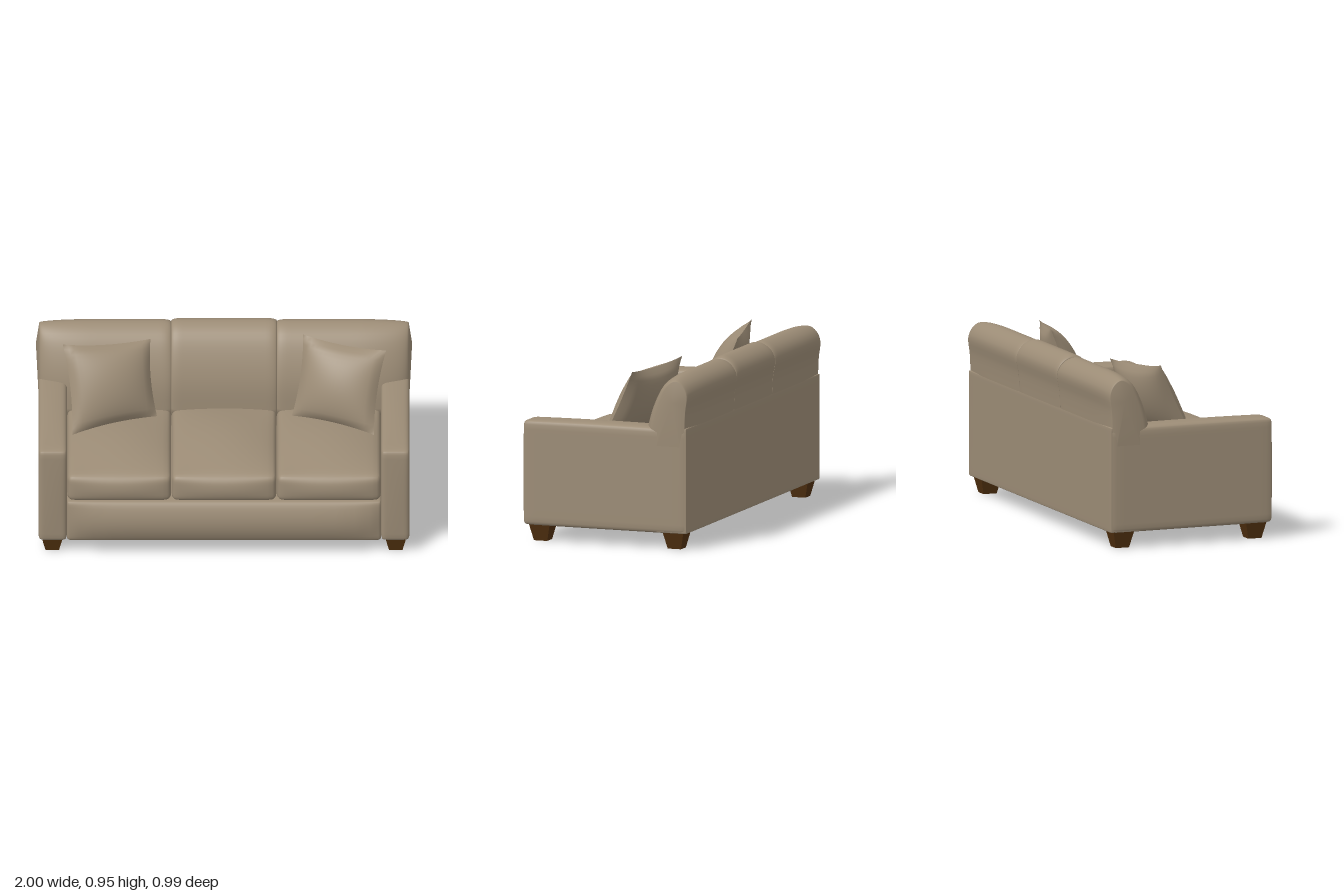
import * as THREE from 'three';
import { mergeGeometries, mergeVertices } from 'three/addons/utils/BufferGeometryUtils.js';

const fabric = new THREE.MeshStandardMaterial({ color: 0x9c8c76 });
fabric.name = 'taupe fabric';
const wood = new THREE.MeshStandardMaterial({ color: 0x50300f });
wood.name = 'dark wood';

// Padded box from min to max with rounded edges; the top and front faces swell.
function softBox(min, max, r, swellTop = 0, swellFront = 0, power = 2) {
  const h = min.map((v, i) => (max[i] - v) / 2);
  const c = min.map((v, i) => (max[i] + v) / 2);
  let g = new THREE.BoxGeometry(2, 2, 2, 16, 16, 16);
  g.deleteAttribute('uv');
  g.deleteAttribute('normal');
  g = mergeVertices(g);
  const pos = g.attributes.position;
  const p = new THREE.Vector3();
  const q = new THREE.Vector3();
  const inner = new THREE.Vector3(h[0] - r, h[1] - r, h[2] - r);
  const outer = inner.clone().negate();
  const bell = (t) => 1 - Math.abs(t) ** power;
  for (let i = 0; i < pos.count; i++) {
    p.fromBufferAttribute(pos, i);
    // crowd the grid towards the edges, then round them
    p.set(...p.toArray().map((t, k) => h[k] * Math.sin((t * Math.PI) / 2)));
    q.copy(p).clamp(outer, inner);
    p.sub(q).setLength(r).add(q);
    const [u, v, w] = [p.x / h[0], p.y / h[1], p.z / h[2]];
    p.y += swellTop * bell(u) * bell(w) * Math.max(0, v);
    p.z += swellFront * bell(u) * (1 - v * v) * Math.max(0, w);
    pos.setXYZ(i, p.x + c[0], p.y + c[1], p.z + c[2]);
  }
  g.computeVertexNormals();
  return g;
}

// Side profile (z, y) of the back cushions, running up the front and down the back
const backProfile = new THREE.CatmullRomCurve3([
  [-0.188, 0.45], [-0.205, 0.65], [-0.262, 0.81], [-0.325, 0.9], [-0.4, 0.933],
  [-0.462, 0.905], [-0.493, 0.85], [-0.48, 0.75], [-0.472, 0.6], [-0.46, 0.45],
].map(([z, y]) => new THREE.Vector3(0, y, z))).getPoints(36);

const seam = { width: 0.05, depth: 0.95, height: 0.95, bulge: 0 };
const outerEnd = { width: 0.28, depth: 0.66, height: 0.93, bulge: 0.018 };

// Loft the profile from x0 to x1, shrinking it towards each end
function backCushion(x0, x1, end0, end1, lift) {
  const n = 28;
  const m = backProfile.length;
  const verts = [];
  const index = [];
  const taper = (dist, width, s) => {
    const k = Math.max(0, 1 - dist / width);
    return 1 - (1 - s) * (1 - Math.sqrt(1 - k * k));
  };
  for (let i = 0; i <= n; i++) {
    const x = x0 + ((x1 - x0) * (1 - Math.cos((Math.PI * i) / n))) / 2;
    const sz = taper(x - x0, end0.width, end0.depth) * taper(x1 - x, end1.width, end1.depth);
    const sy = lift * taper(x - x0, end0.width, end0.height) * taper(x1 - x, end1.width, end1.height);
    for (const p of backProfile) verts.push(x, 0.6 + (p.y - 0.6) * sy, -0.44 + (p.z + 0.44) * sz);
  }
  for (let i = 0; i < n; i++) {
    for (let j = 0; j < m; j++) {
      const k = (j + 1) % m;
      const [a, b, c, d] = [i * m + j, (i + 1) * m + j, i * m + k, (i + 1) * m + k];
      index.push(a, b, c, b, d, c);
    }
  }
  // end caps
  const cap = verts.length / 3;
  verts.push(x0 - end0.bulge, 0.79, -0.4, x1 + end1.bulge, 0.79, -0.4);
  for (let j = 0; j < m; j++) {
    const k = (j + 1) % m;
    index.push(cap, j, k, cap + 1, n * m + k, n * m + j);
  }
  const g = new THREE.BufferGeometry();
  g.setAttribute('position', new THREE.Float32BufferAttribute(verts, 3));
  g.setIndex(index);
  g.computeVertexNormals();
  return g;
}

// Throw pillow stretched between four corners, with pinched edges and a sharp seam
function pillow(corners, thickness) {
  const [tl, tr, br, bl] = corners.map((c) => new THREE.Vector3(...c));
  const normal = tr.clone().sub(tl).cross(tl.clone().sub(bl)).normalize();
  const sides = [1, -1].map((side) => {
    const g = new THREE.PlaneGeometry(2, 2, 18, 18);
    if (side < 0) g.rotateY(Math.PI);
    const pos = g.attributes.position;
    for (let i = 0; i < pos.count; i++) {
      const x = pos.getX(i);
      const y = pos.getY(i);
      const u = 0.5 + 0.5 * x * (1 - 0.07 * (1 - y * y));
      const v = 0.5 + 0.5 * y * (1 - 0.07 * (1 - x * x));
      const puff = Math.max(0, (1 - x * x) * (1 - y * y)) ** 0.6;
      const p = bl.clone().lerp(br, u).lerp(tl.clone().lerp(tr, u), v);
      p.addScaledVector(normal, side * thickness * puff);
      pos.setXYZ(i, p.x, p.y, p.z);
    }
    g.computeVertexNormals();
    return g;
  });
  return mergeGeometries(sides);
}

// Square tapered foot
function footGeometry() {
  const g = new THREE.CylinderGeometry(Math.SQRT2, 0.64 * Math.SQRT2, 0.09, 4, 1).toNonIndexed();
  g.rotateY(Math.PI / 4);
  g.scale(0.056, 1, 0.059);
  g.computeVertexNormals();
  return g;
}

export function createModel() {
  const sofa = new THREE.Group();
  sofa.name = 'sofa';
  const add = (name, geometry, material = fabric) => {
    const mesh = new THREE.Mesh(geometry, material);
    mesh.name = name;
    sofa.add(mesh);
    return mesh;
  };

  // Frame
  add('base', softBox([-0.835, 0.087, -0.47], [0.835, 0.335, 0.455], 0.02, 0, 0.04, 10));
  add('backPanel', softBox([-0.98, 0.087, -0.475], [0.98, 0.655, -0.3], 0.008));
  add('leftArm', softBox([0.832, 0.085, -0.475], [0.985, 0.648, 0.455], 0.025, 0.01, 0.006));
  add('rightArm', softBox([-0.985, 0.085, -0.475], [-0.832, 0.648, 0.455], 0.025, 0.01, 0.006));

  // Seat cushions
  const seats = { rightSeatCushion: [-0.832, -0.28], middleSeatCushion: [-0.278, 0.278], leftSeatCushion: [0.28, 0.832] };
  for (const [name, [x0, x1]] of Object.entries(seats)) {
    add(name, softBox([x0, 0.335, -0.26], [x1, 0.495, 0.46], 0.035, 0.045, 0.025));
  }

  // Back cushions; the outer two spread over the arms
  add('middleBackCushion', backCushion(-0.28, 0.28, seam, seam, 1));
  add('leftBackCushion', backCushion(0.28, 0.98, seam, outerEnd, 0.98));
  add('rightBackCushion', backCushion(-0.98, -0.28, outerEnd, seam, 0.98));

  // Throw pillows
  add('rightPillow', pillow([[-0.855, 0.948, -0.135], [-0.39, 0.92, -0.235], [-0.355, 0.53, -0.085], [-0.805, 0.52, 0.085]], 0.085));
  add('leftPillow', pillow([[0.42, 0.948, -0.235], [0.86, 0.92, -0.12], [0.795, 0.52, 0.085], [0.36, 0.53, -0.09]], 0.085));

  // Feet
  const foot = footGeometry();
  for (const [side, x] of [['left', 0.911], ['right', -0.911]]) {
    for (const [end, z] of [['Front', 0.367], ['Back', -0.394]]) {
      add(`${side}${end}Foot`, foot, wood).position.set(x, 0.045, z);
    }
  }
  return sofa;
}
